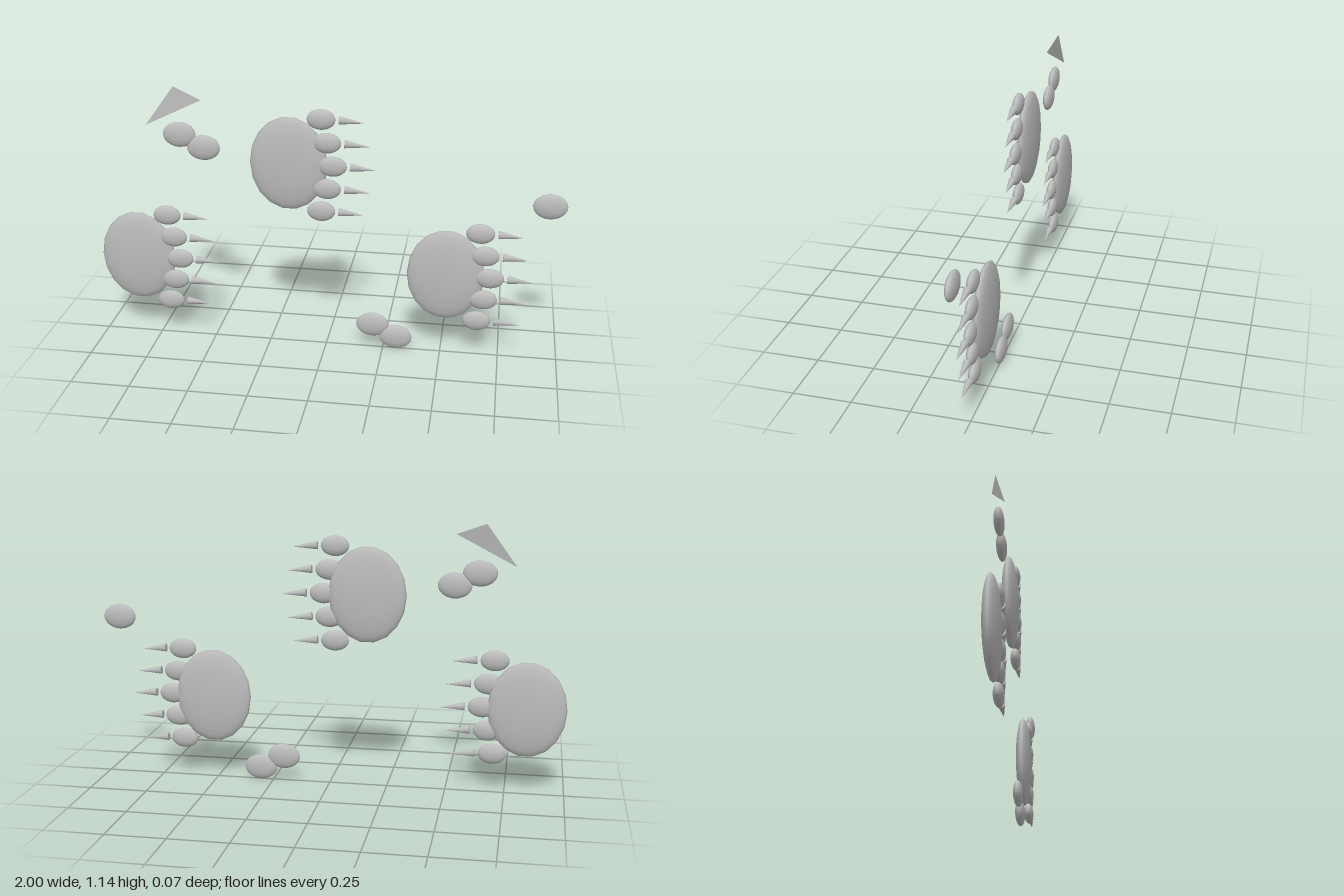
import * as THREE from 'three';

export function createModel() {
  const model = new THREE.Group();
  const grey = new THREE.MeshStandardMaterial({ color: 0xbbbbbb });
  grey.name = 'grey';
  grey.side = THREE.DoubleSide;

  // flattened spheres; the pole faces z
  const padGeo = new THREE.SphereGeometry(1, 18, 12).rotateX(Math.PI / 2);
  const ballGeo = new THREE.SphereGeometry(1, 24, 16).rotateX(Math.PI / 2);
  const clawGeo = new THREE.ConeGeometry(0.018, 0.107, 12).rotateZ(-Math.PI / 2);

  function add(parent, name, geo, pos, scale = [1, 1, 1]) {
    const mesh = new THREE.Mesh(geo, grey);
    mesh.name = name;
    mesh.position.set(...pos);
    mesh.scale.set(...scale);
    parent.add(mesh);
    return mesh;
  }

  // paws: one broad pad, five toes in an arc, and a claw beyond each toe
  function addPaw(x, y) {
    const paw = new THREE.Group();
    paw.name = 'paw';
    paw.position.set(x, y, 0);
    add(paw, 'pad', padGeo, [0, 0, 0], [0.165, 0.205, 0.034]);
    for (let i = -2; i <= 2; i++) {
      const toeX = 0.187 - 0.024 * Math.abs(i);
      add(paw, 'toe', ballGeo, [toeX, 0.101 * i, 0.01], [0.06, 0.044, 0.021]);
      const claw = add(paw, 'claw', clawGeo, [toeX + 0.128, 0.101 * i - 0.004, 0.011], [1, 1, 0.85]);
      claw.rotation.z = -0.08;
    }
    model.add(paw);
  }
  addPaw(-0.835, 0.372);
  addPaw(-0.16, 0.837);
  addPaw(0.512, 0.372);

  // loose oval beads
  for (const [x, y] of [[-0.626, 0.941], [-0.524, 0.888], [0.203, 0.112], [0.305, 0.059], [0.928, 0.709]]) {
    add(model, 'bead', ballGeo, [x, y, 0], [0.071, 0.055, 0.021]);
  }

  // single triangular shard
  const shardGeo = new THREE.BufferGeometry();
  shardGeo.setAttribute('position', new THREE.Float32BufferAttribute([
    -0.648, 1.145, -0.013,
    -0.775, 0.971, -0.013,
    -0.524, 1.098, 0.012,
  ], 3));
  shardGeo.computeVertexNormals();
  add(model, 'shard', shardGeo, [0, 0, 0]);

  return model;
}
